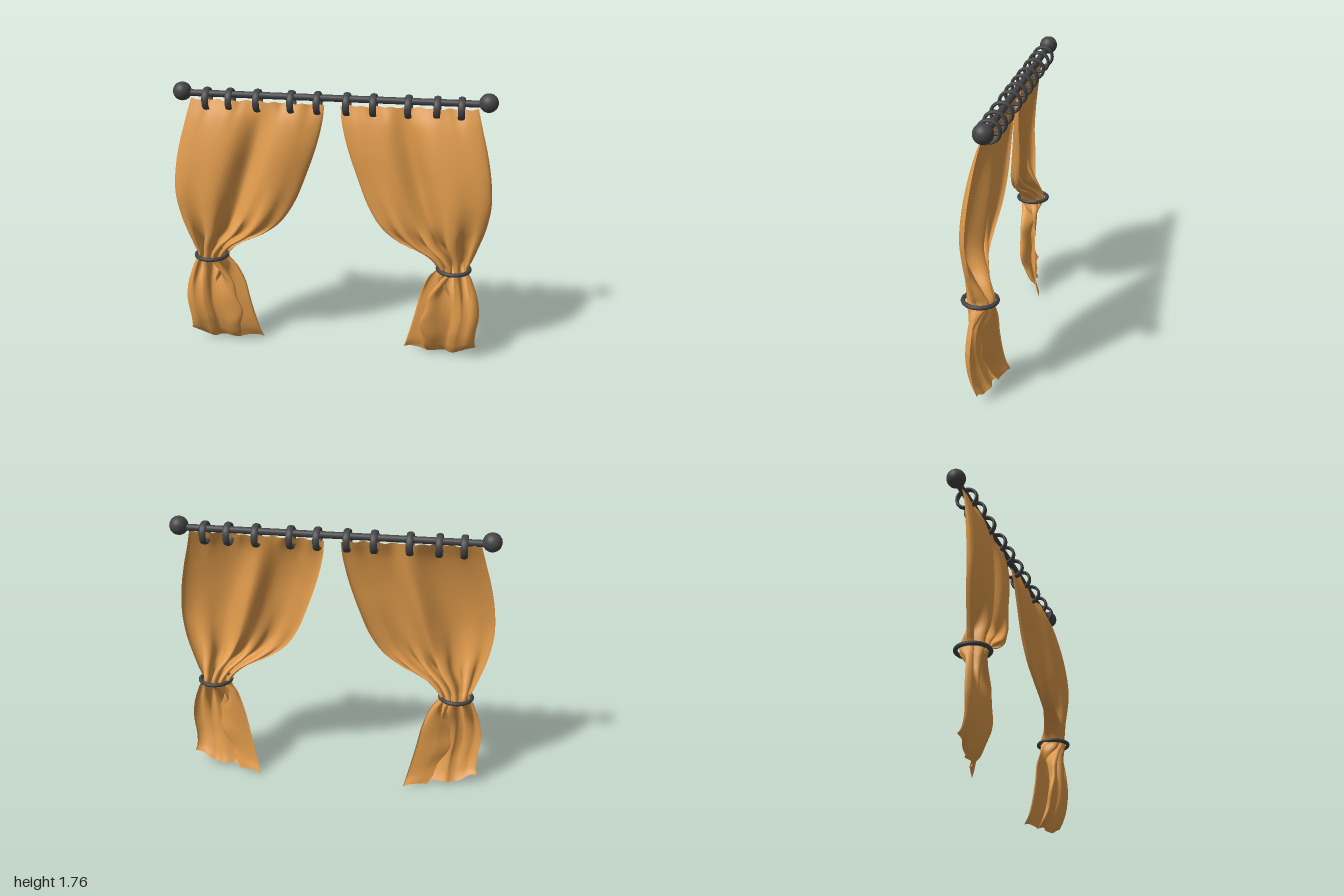
import * as THREE from 'three';

// Curtain rows, top to hem: [outer x, y, z], [inner x, y, z], [broad swell, tight pleats, overlap fold]
const ROWS = [
  [[0.885, 1.665, -0.04], [0.05, 1.655, -0.05], [0.012, 0.012, 0]],
  [[0.915, 1.55, -0.01], [0.062, 1.54, -0.035], [0.045, 0.004, 0]],
  [[0.955, 1.40, 0.015], [0.10, 1.38, -0.025], [0.07, 0.002, 0]],
  [[0.985, 1.24, 0.035], [0.165, 1.19, -0.018], [0.084, 0.003, 0]],
  [[0.995, 1.08, 0.045], [0.23, 1.03, 0], [0.083, 0.009, 0]],
  [[0.973, 0.93, 0.035], [0.315, 0.90, 0.025], [0.072, 0.02, 0]],
  [[0.933, 0.80, 0.025], [0.43, 0.81, 0.035], [0.045, 0.042, 0]],
  [[0.895, 0.70, 0.015], [0.595, 0.725, 0.025], [0.015, 0.066, 0]],
  [[0.872, 0.635, 0.012], [0.675, 0.635, 0.01], [0, 0.082, 0]],
  [[0.905, 0.56, 0.02], [0.628, 0.56, -0.02], [0.015, 0.055, 0.4]],
  [[0.945, 0.44, 0.03], [0.58, 0.44, -0.045], [0.035, 0.026, 0.9]],
  [[0.958, 0.32, 0.035], [0.55, 0.30, -0.05], [0.04, 0.016, 1]],
  [[0.943, 0.20, 0.03], [0.52, 0.17, -0.06], [0.038, 0.014, 0.8]],
  [[0.94, 0.12, 0.015], [0.495, 0.07, -0.075], [0.028, 0.01, 0.5]],
  [[0.95, 0.08, -0.005], [0.475, 0.0, -0.10], [0.015, 0.008, 0.25]],
];
const RING_X = [0.09, 0.253, 0.465, 0.638, 0.784];

// Cloth sheet swept between the outer and inner edges, gathered by folds
function curtainGeometry(side) {
  const [outer, inner, folds] = [0, 1, 2].map((k) =>
    new THREE.CatmullRomCurve3(ROWS.map((r) => new THREE.Vector3(...r[k])), false, 'catmullrom', 0.5));
  const NU = 128, NV = 130, pos = [], idx = [];
  for (let j = 0; j <= NV; j++) {
    const t = j / NV;
    const a = outer.getPoint(t), b = inner.getPoint(t), f = folds.getPoint(t);
    const hem = THREE.MathUtils.smoothstep(t, 0.88, 1);
    const valleyU = 0.55 - 0.17 * THREE.MathUtils.smoothstep(t, 0.35, 0.65);
    for (let i = 0; i <= NU; i++) {
      const u = i / NU;
      const p = new THREE.Vector3().lerpVectors(a, b, u);
      const width = a.x - b.x;
      const round = Math.sqrt(Math.max(0, 1 - (2 * u - 1) ** 2));
      // Tight pleats, pinched sideways so they overlap a little
      const q = Math.PI * 2 * (4 * u + 0.12 * Math.sin(7 * u + 3 * t));
      p.z += f.y * round * Math.sin(q);
      p.x += Math.min(f.y, 0.06) * 0.2 * round * Math.sin(2 * q);
      // Broad swell of the hanging cloth, parted by one narrow valley
      p.z += f.x * (round - 1.1 * Math.exp(-(((u - valleyU) / 0.1) ** 2)));
      // Layer doubled back on itself below the tie
      const s = THREE.MathUtils.clamp((u - 0.42) / 0.52, 0, 1);
      const bend = Math.sin(2 * Math.PI * s) * Math.sin(Math.PI * s);
      p.x -= f.z * 0.38 * width * bend * (1 + 0.1 * Math.sin(t * 48));
      p.z += f.z * (0.045 * Math.sin(Math.PI * Math.min(1, u / 0.85)) - 0.09 * s * (1 - u));
      // Uneven hem
      p.y -= hem * 0.045 * Math.sin(Math.PI * u) * (1 - u);
      p.y += hem * 0.008 * Math.sin(u * 16);
      // Sag between the rings
      p.y -= Math.max(0, 1 - t * 8) * 0.008 * Math.sin(u * 30) ** 2;
      pos.push(side * p.x, Math.max(0, p.y), p.z);
    }
  }
  for (let j = 0; j < NV; j++) {
    for (let i = 0; i < NU; i++) {
      const a = j * (NU + 1) + i, b = a + 1, c = a + NU + 1, d = c + 1;
      if (side < 0) idx.push(a, c, b, b, c, d);
      else idx.push(a, b, c, b, d, c);
    }
  }
  const g = new THREE.BufferGeometry();
  g.setAttribute('position', new THREE.Float32BufferAttribute(pos, 3));
  g.setIndex(idx);
  g.computeVertexNormals();
  return g;
}

export function createModel() {
  const model = new THREE.Group();
  const cloth = new THREE.MeshStandardMaterial({ color: 0xdf9a4b, side: THREE.DoubleSide });
  cloth.name = 'ochre cloth';
  const metal = new THREE.MeshStandardMaterial({ color: 0x444446 });
  metal.name = 'dark metal';

  const add = (name, geometry, material, x, y, z) => {
    const mesh = new THREE.Mesh(geometry, material);
    mesh.name = name;
    mesh.position.set(x, y, z);
    model.add(mesh);
  };

  // Rod
  add('rod', new THREE.CylinderGeometry(0.021, 0.021, 1.86, 24).rotateZ(Math.PI / 2), metal, 0, 1.691, -0.057);

  const ball = new THREE.SphereGeometry(0.058, 32, 20);
  const ring = new THREE.TorusGeometry(0.063, 0.01, 12, 40).scale(1, 1, 2.1).rotateY(Math.PI / 2);
  const tie = new THREE.TorusGeometry(0.1, 0.013, 12, 48).rotateX(Math.PI / 2);

  for (const side of [-1, 1]) {
    const label = side > 0 ? 'left' : 'right';
    add(label + 'Finial', ball, metal, side * 0.943, 1.70, -0.055);
    RING_X.forEach((x, i) => add(label + 'Ring' + (i + 1), ring, metal, side * x, 1.66, -0.047));
    add(label + 'Tie', tie, metal, side * 0.783, 0.635, 0.012);
    add(label + 'Curtain', curtainGeometry(side), cloth, 0, 0, 0);
  }
  return model;
}
